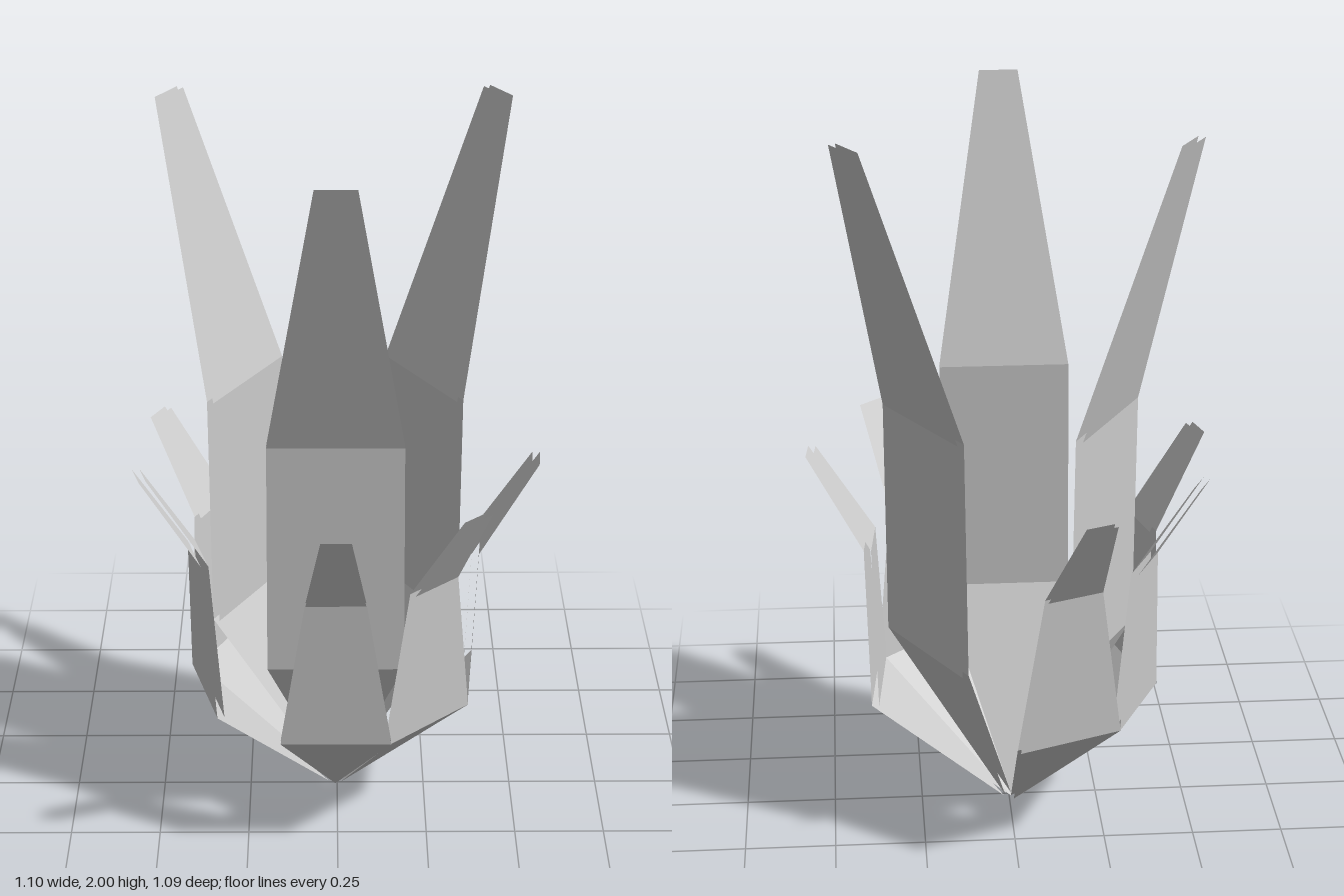
import * as THREE from 'three';

const material = new THREE.MeshStandardMaterial({
  color: 0xcccccc, flatShading: true, side: THREE.DoubleSide,
});

// Cross-sections of a leaf, bottom to top: [half width, height, distance from centre]
const TALL = [[0, 0.01, 0], [0.185, 0.55, 0.268], [0.18, 1.22, 0.274], [0.053, 2, 0.495]];
const SHORT = [[0, 0, 0], [0.15, 0.37, 0.362], [0.08, 0.81, 0.38], [0.04, 1.07, 0.535]];
const GAP = 0.02; // spacing between the two sheets of a leaf

// One folded sheet facing +z, pointed at the bottom
function sheetGeometry(profile, offset) {
  const positions = [];
  const corner = ([w, y, r], side) => [side * w, y, r + offset];
  for (let i = 0; i < profile.length - 1; i++) {
    const low = profile[i], high = profile[i + 1];
    if (low[0] > 0) {
      positions.push(...corner(low, -1), ...corner(low, 1), ...corner(high, 1));
    }
    positions.push(...corner(low, -1), ...corner(high, 1), ...corner(high, -1));
  }
  const geometry = new THREE.BufferGeometry();
  geometry.setAttribute('position', new THREE.Float32BufferAttribute(positions, 3));
  geometry.computeVertexNormals();
  return geometry;
}

// A leaf is an inner and an outer sheet, open along the edges
function makeLeaf(name, profile, degrees) {
  const leaf = new THREE.Group();
  leaf.name = name;
  [['innerSheet', 0], ['outerSheet', GAP]].forEach(([sheetName, offset]) => {
    const mesh = new THREE.Mesh(sheetGeometry(profile, offset), material);
    mesh.name = sheetName;
    leaf.add(mesh);
  });
  leaf.rotation.y = THREE.MathUtils.degToRad(degrees);
  return leaf;
}

export function createModel() {
  const model = new THREE.Group();
  model.name = 'leafCluster';
  const cluster = new THREE.Group();
  cluster.name = 'leaves';
  cluster.position.set(-0.005, 0, -0.013);

  // Inner ring of tall leaves, angles measured from the front toward +x
  [0, 121, 240].forEach((a, i) => cluster.add(makeLeaf(`tallLeaf${i + 1}`, TALL, a)));

  // Outer ring of short leaves, in two groups of three
  [0, 42.4, 84.8, 201.2, 243.6, 286].forEach((a, i) =>
    cluster.add(makeLeaf(`shortLeaf${i + 1}`, SHORT, a)));

  model.add(cluster);
  return model;
}
